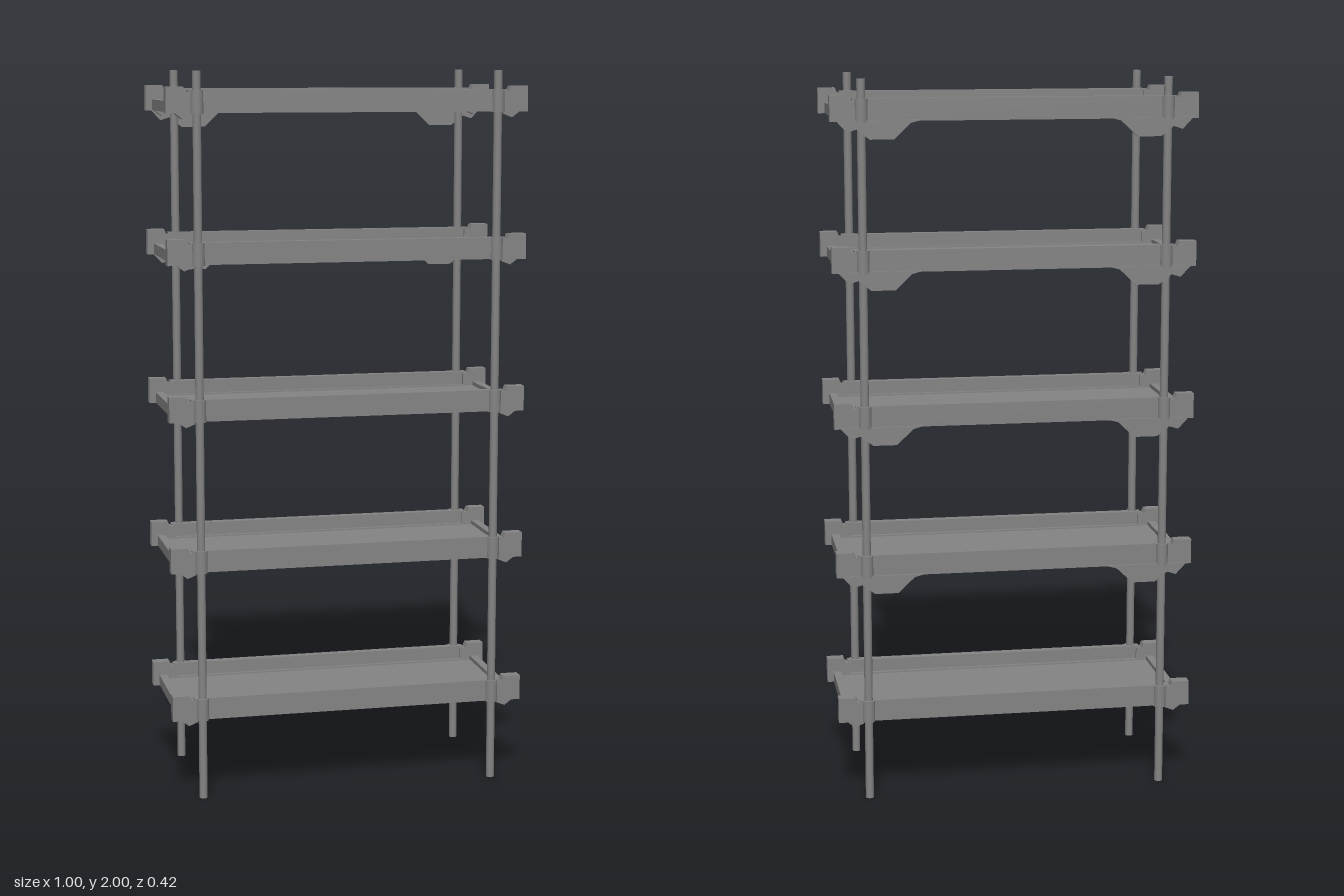
import * as THREE from 'three';

const steel = new THREE.MeshStandardMaterial({ color: 0x848484 });
steel.name = 'grey steel';

function add(parent, name, geometry, x, y, z) {
  const mesh = new THREE.Mesh(geometry, steel);
  mesh.name = name;
  mesh.position.set(x, y, z);
  parent.add(mesh);
  return mesh;
}

const box = (w, h, d) => new THREE.BoxGeometry(w, h, d);

// Flat outline in x and y, extruded along z and centred on it
function plate(points, depth) {
  const shape = new THREE.Shape(points.map(([x, y]) => new THREE.Vector2(x, y)));
  const geometry = new THREE.ExtrudeGeometry(shape, { depth, bevelEnabled: false });
  return geometry.translate(0, 0, -depth / 2);
}

const mirrorX = (points, side) => points.map(([x, y]) => [x * side, y]);

// Stepped end of a rail: raised outer lug, shallow notch beside the post
const endOutline = [
  [0.43, -0.005], [0.455, -0.015], [0.475, 0], [0.5, 0],
  [0.5, 0.07], [0.452, 0.07], [0.446, 0.056], [0.43, 0.056],
];

// Sloped gusset hanging below the back rail
const gussetOutline = [
  [0.255, 0.004], [0.285, -0.004], [0.33, -0.047], [0.395, -0.047],
  [0.43, -0.02], [0.455, -0.028], [0.485, 0.004],
];

function createShelf(y, hasGussets) {
  const shelf = new THREE.Group();
  shelf.name = 'shelf';
  shelf.position.y = y;

  add(shelf, 'shelfPanel', box(0.95, 0.012, 0.35), 0, 0.014, 0);

  for (const z of [-1, 1]) {
    // Long rail with a narrow inner lip
    add(shelf, 'longRail', box(0.88, 0.06, 0.024), 0, 0.031, z * 0.187);
    add(shelf, 'railLip', box(0.9, 0.02, 0.012), 0, 0.014, z * 0.17);

    for (const x of [-1, 1]) {
      add(shelf, 'railEnd', plate(mirrorX(endOutline, x), 0.032), 0, 0, z * 0.184);
      // Collar clamping the rail to its post
      add(shelf, 'postCollar', new THREE.CylinderGeometry(0.018, 0.018, 0.062, 16), x * 0.416, 0.03, z * 0.194);
    }
  }

  for (const x of [-1, 1]) {
    add(shelf, 'endBar', box(0.022, 0.03, 0.35), x * 0.471, 0.016, 0);
    if (hasGussets) {
      add(shelf, 'backGusset', plate(mirrorX(gussetOutline, x), 0.012), 0, 0, -0.2);
    }
  }
  return shelf;
}

export function createModel() {
  const model = new THREE.Group();
  model.name = 'shelvingRack';

  // Four slender round posts
  for (const x of [-1, 1]) {
    for (const z of [-1, 1]) {
      add(model, 'post', new THREE.CylinderGeometry(0.0115, 0.0115, 2, 16), x * 0.416, 1, z * 0.194);
    }
  }

  // Five shelves, gussets on all but the lowest
  [0.225, 0.642, 1.06, 1.485, 1.888].forEach((y, i) => model.add(createShelf(y, i > 0)));
  return model;
}
